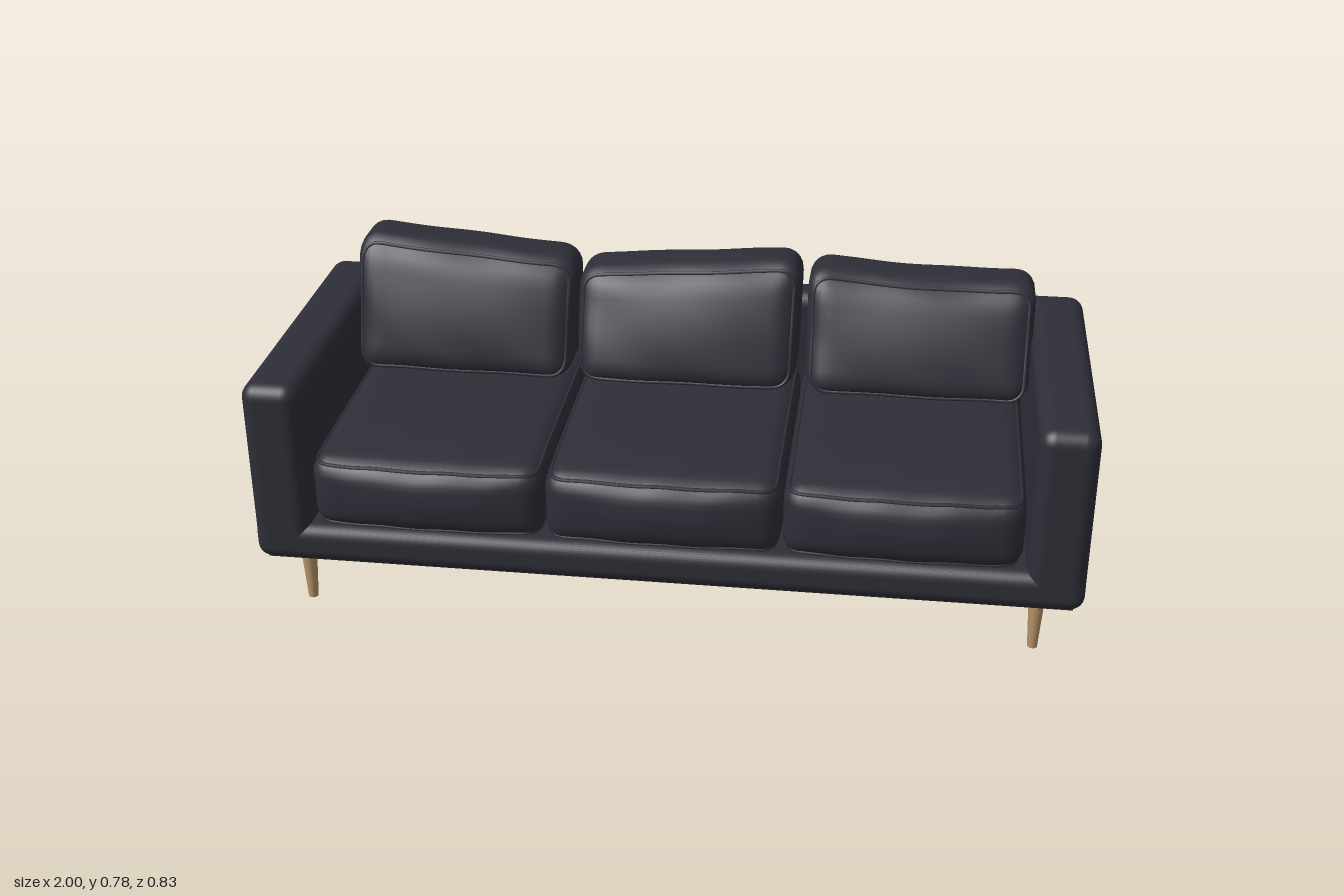
import * as THREE from 'three';
import { mergeVertices } from 'three/addons/utils/BufferGeometryUtils.js';
import { RoundedBoxGeometry } from 'three/addons/geometries/RoundedBoxGeometry.js';

const fabric = new THREE.MeshStandardMaterial({ color: 0x2e2e38 });
fabric.name = 'charcoal fabric';
const wood = new THREE.MeshStandardMaterial({ color: 0xb8946a });
wood.name = 'light wood';
const lining = new THREE.MeshStandardMaterial({ color: 0x222223 });
lining.name = 'black lining';

const { lerp, clamp } = THREE.MathUtils;

function addMesh(parent, name, geometry, material, x = 0, y = 0, z = 0) {
  const mesh = new THREE.Mesh(geometry, material);
  mesh.name = name;
  mesh.position.set(x, y, z);
  parent.add(mesh);
  return mesh;
}

// Rounded block given by its lower and upper limits on each axis
function addBlock(parent, name, [x0, x1], [y0, y1], [z0, z1], radius) {
  const geometry = new RoundedBoxGeometry(x1 - x0, y1 - y0, z1 - z0, 5, radius);
  addMesh(parent, name, geometry, fabric, (x0 + x1) / 2, (y0 + y1) / 2, (z0 + z1) / 2);
}

// Finely divided rounded box, bent by the warp rule
function softBox(half, r, warp) {
  const geometry = new THREE.BoxGeometry(
    ...half.map((h) => h * 2), ...half.map((h) => Math.max(14, Math.round(h * 110))));
  geometry.deleteAttribute('uv');
  geometry.deleteAttribute('normal');
  const pos = geometry.attributes.position;
  const p = new THREE.Vector3();
  const core = new THREE.Vector3();
  for (let i = 0; i < pos.count; i++) {
    p.fromBufferAttribute(pos, i);
    core.set(...p.toArray().map((c, k) => clamp(c, r - half[k], half[k] - r)));
    p.sub(core).setLength(r).add(core);
    warp(p);
    pos.setXYZ(i, p.x, p.y, p.z);
  }
  const merged = mergeVertices(geometry, 1e-5);
  merged.computeVertexNormals();
  return merged;
}

// Piping along one edge loop; axis is the direction the loop faces, side is 1 or -1
function piping(half, r, axis, side, warp) {
  const [a, b] = [0, 1, 2].filter((k) => k !== axis);
  const q = r * Math.SQRT1_2;
  const corners = [[1, 1], [-1, 1], [-1, -1], [1, -1]];
  const flat = [];
  corners.forEach(([sa, sb], i) => {
    for (let k = 0; k <= 4; k++) {
      const angle = (i + k / 4) * Math.PI / 2;
      flat.push([sa * (half[a] - r) + q * Math.cos(angle), sb * (half[b] - r) + q * Math.sin(angle)]);
    }
    const from = flat[flat.length - 1];
    const [na, nb] = corners[(i + 1) % 4];
    const end = (i + 1) * Math.PI / 2;
    const to = [na * (half[a] - r) + q * Math.cos(end), nb * (half[b] - r) + q * Math.sin(end)];
    for (let k = 1; k < 8; k++) flat.push([lerp(from[0], to[0], k / 8), lerp(from[1], to[1], k / 8)]);
  });
  const points = flat.map(([u, v]) => {
    const p = new THREE.Vector3();
    p.setComponent(a, u).setComponent(b, v).setComponent(axis, side * (half[axis] - r + q));
    warp(p);
    return p;
  });
  return new THREE.TubeGeometry(new THREE.CatmullRomCurve3(points, true), 140, 0.005, 6, true);
}

function addCushion(parent, name, half, r, axis, warp) {
  const cushion = new THREE.Group();
  cushion.name = name;
  addMesh(cushion, 'padding', softBox(half, r, warp), fabric);
  for (const side of [1, -1]) addMesh(cushion, 'piping', piping(half, r, axis, side, warp), fabric);
  parent.add(cushion);
}

// 1 in the middle of a span, 0 at its ends
const dome = (c, half) => 1 - Math.min(1, (c / half) ** 2);

export function createModel() {
  const sofa = new THREE.Group();
  sofa.name = 'sofa';

  // Frame
  addBlock(sofa, 'base', [-1, 1], [0.15, 0.247], [-0.415, 0.395], 0.035);
  addBlock(sofa, 'backrest', [-1, 1], [0.15, 0.62], [-0.415, -0.315], 0.038);
  for (const [name, s] of [['left', 1], ['right', -1]]) {
    addBlock(sofa, name + 'Arm', [s * 0.93 - 0.07, s * 0.93 + 0.07], [0.15, 0.62], [-0.415, 0.395], 0.038);
  }
  addMesh(sofa, 'undersideLining', new THREE.BoxGeometry(1.95, 0.006, 0.76), lining, 0, 0.15, -0.01);

  // Tapered legs
  for (const x of [-0.895, 0.895]) {
    for (const z of [0.308, -0.325]) {
      addMesh(sofa, 'leg', new THREE.CylinderGeometry(0.021, 0.012, 0.16, 20), wood, x, 0.08, z);
    }
  }

  // Seat cushions, crowned on top and swelling at the front
  const seat = [0.282, 0.094, 0.35];
  [-0.568, 0, 0.568].forEach((cx, i) => {
    addCushion(sofa, 'seatCushion' + (i + 1), seat, 0.045, 1, (p) => {
      const { x, y, z } = p;
      const front = Math.max(0, z / seat[2]) ** 4;
      p.z += 0.032 * front * dome(x, seat[0]) * dome(y, seat[1] * 1.25) + 0.03;
      if (y > 0) p.y += 0.012 * dome(x, seat[0]) * dome(z, seat[2]) - 0.008 * front;
      p.y += 0.0015 * Math.sin(x * 38 + z * 17 + i * 2) * front + 0.34;
      p.x += cx;
    });
  });

  // Back cushions: thick at the foot, thin at the head, leaning on the backrest
  const back = [0.285, 0.152, 0.1];
  const heads = [
    { x: -0.578, top: (u) => 0.004 - 0.012 * u },
    { x: -0.004, top: (u) => -0.007 + 0.011 * u },
    { x: 0.582, top: (u) => -0.012 + 0.006 * u * u - 0.004 * u },
  ];
  heads.forEach((head, i) => {
    addCushion(sofa, 'backCushion' + (i + 1), back, 0.055, 2, (p) => {
      const { x, y, z } = p;
      const t = (y / back[1] + 1) / 2;
      const puff = dome(x, back[0]) * dome(y, back[1]);
      const depth = lerp(0.122, 0.078, t) + 0.022 * puff;
      const crease = 0.003 * Math.sin(x * 24 + y * 30 + i * 2.3) * (1 - puff);
      p.z = lerp(-0.187, -0.262, t) + (z / back[2]) * depth + crease;
      p.y += 0.594 + 0.006 * dome(z, back[2]) * t + 2 * t * head.top(x / back[0]);
      p.x = head.x + x * lerp(0.985, 1.0, t);
    });
  });

  return sofa;
}
